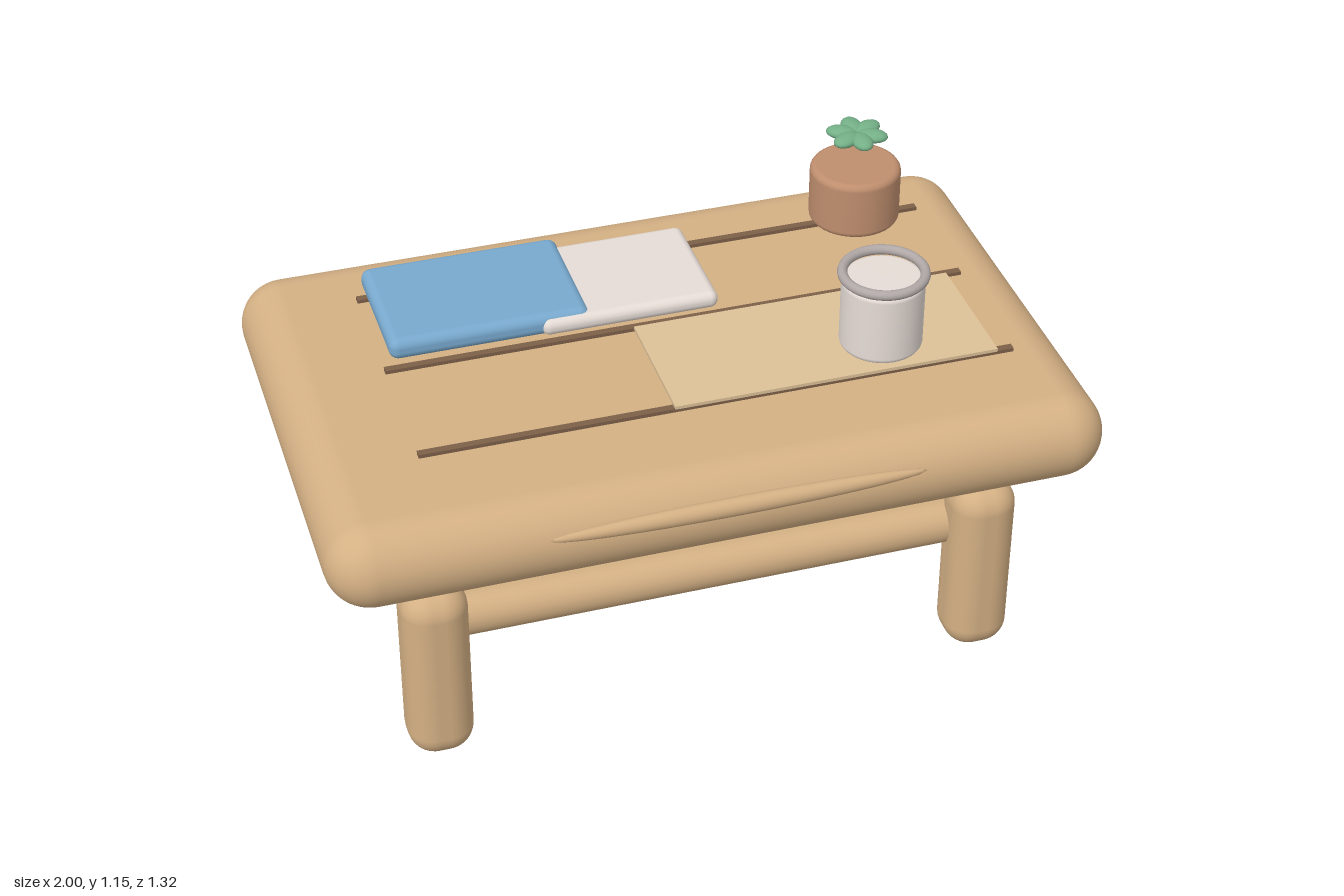
import * as THREE from 'three';
import { RoundedBoxGeometry } from 'three/addons/geometries/RoundedBoxGeometry.js';

const mat = (color) => new THREE.MeshStandardMaterial({ color });

export function createModel() {
  const model = new THREE.Group();
  const wood = mat(0xd4b084), groove = mat(0x7d6048), paper = mat(0xdcc198);
  const blue = mat(0x78a9ce), cream = mat(0xe6dcd6), rimGrey = mat(0xb0a8a6);
  const clay = mat(0xbf8e6e), green = mat(0x74b087);
  const midZ = -0.026;

  const add = (name, geometry, material, x, y, z, parent = model) => {
    const mesh = new THREE.Mesh(geometry, material);
    mesh.name = name;
    mesh.position.set(x, y, z);
    parent.add(mesh);
    return mesh;
  };
  // Box given by its minimum and maximum on each axis, rounded when r > 0
  const box = (name, material, [x0, x1], [y0, y1], [z0, z1], r = 0, seg = 5) => {
    const w = x1 - x0, h = y1 - y0, d = z1 - z0;
    const g = r ? new RoundedBoxGeometry(w, h, d, seg, r) : new THREE.BoxGeometry(w, h, d);
    return add(name, g, material, (x0 + x1) / 2, (y0 + y1) / 2, (z0 + z1) / 2);
  };
  // Upright solid with softened top and bottom edges
  const softCylinder = (name, material, radius, y0, y1, x, z, bevel) => {
    const pts = [new THREE.Vector2(0, y0)];
    for (const [cy, start] of [[y0 + bevel, -Math.PI / 2], [y1 - bevel, 0]])
      for (let i = 0; i <= 4; i++) {
        const a = start + (i / 4) * Math.PI / 2;
        pts.push(new THREE.Vector2(radius - bevel + bevel * Math.cos(a), cy + bevel * Math.sin(a)));
      }
    pts.push(new THREE.Vector2(0, y1));
    return add(name, new THREE.LatheGeometry(pts, 40), material, x, 0, z);
  };

  // Table: thick top, lower shelf, four legs
  box('tableTop', wood, [-1, 1], [0.575, 0.808], [-0.66, 0.606], 0.116, 6);
  box('lowerShelf', wood, [-0.73, 0.73], [0.305, 0.425], [midZ - 0.45, midZ + 0.45], 0.059);
  for (const sx of [-1, 1])
    for (const sz of [-1, 1]) {
      const x = sx * 0.725, z = midZ + sz * 0.439;
      box('leg', wood, [x - 0.085, x + 0.085], [0, 0.522], [z - 0.085, z + 0.085], 0.07);
    }

  // Long low handle floating at the front edge
  add('frontHandle', new THREE.SphereGeometry(1, 32, 16), wood, 0, 0.764, 0.638)
    .scale.set(0.477, 0.025, 0.022);

  // Plank seams
  for (const z of [-0.4, -0.07, 0.295])
    box('plankSeam', groove, [-0.715, 0.835], [0.82, 0.83], [z - 0.01, z + 0.01]);

  // Paper sheet and two soft folded pads
  box('paperSheet', paper, [-0.065, 0.79], [0.83, 0.839], [-0.055, 0.308]);
  box('bluePad', blue, [-0.695, -0.17], [0.836, 0.896], [-0.445, -0.08], 0.025);
  box('creamPad', cream, [-0.3, 0.17], [0.839, 0.886], [-0.415, -0.068], 0.022);

  // Mug with a rolled rim
  softCylinder('mugBody', cream, 0.106, 0.86, 1.058, 0.505, 0.218, 0.015);
  add('mugRim', new THREE.TorusGeometry(0.104, 0.013, 12, 40), rimGrey, 0.505, 1.07, 0.218)
    .rotation.x = Math.PI / 2;

  // Plant pot with a six-petalled sprig above it
  softCylinder('plantPot', clay, 0.121, 0.878, 1.04, 0.63, -0.332, 0.018);
  const sprig = new THREE.Group();
  sprig.name = 'plantSprig';
  sprig.position.set(0.63, 1.131, -0.332);
  model.add(sprig);
  const leaf = new THREE.SphereGeometry(1, 16, 10);
  for (let i = 0; i < 6; i++) {
    const a = Math.PI / 2 + i * Math.PI / 3;
    const petal = add('leaf', leaf, green, 0.041 * Math.cos(a), 0, 0.041 * Math.sin(a), sprig);
    petal.scale.set(0.042, 0.016, 0.028);
    petal.rotation.y = -a;
  }

  return model;
}
